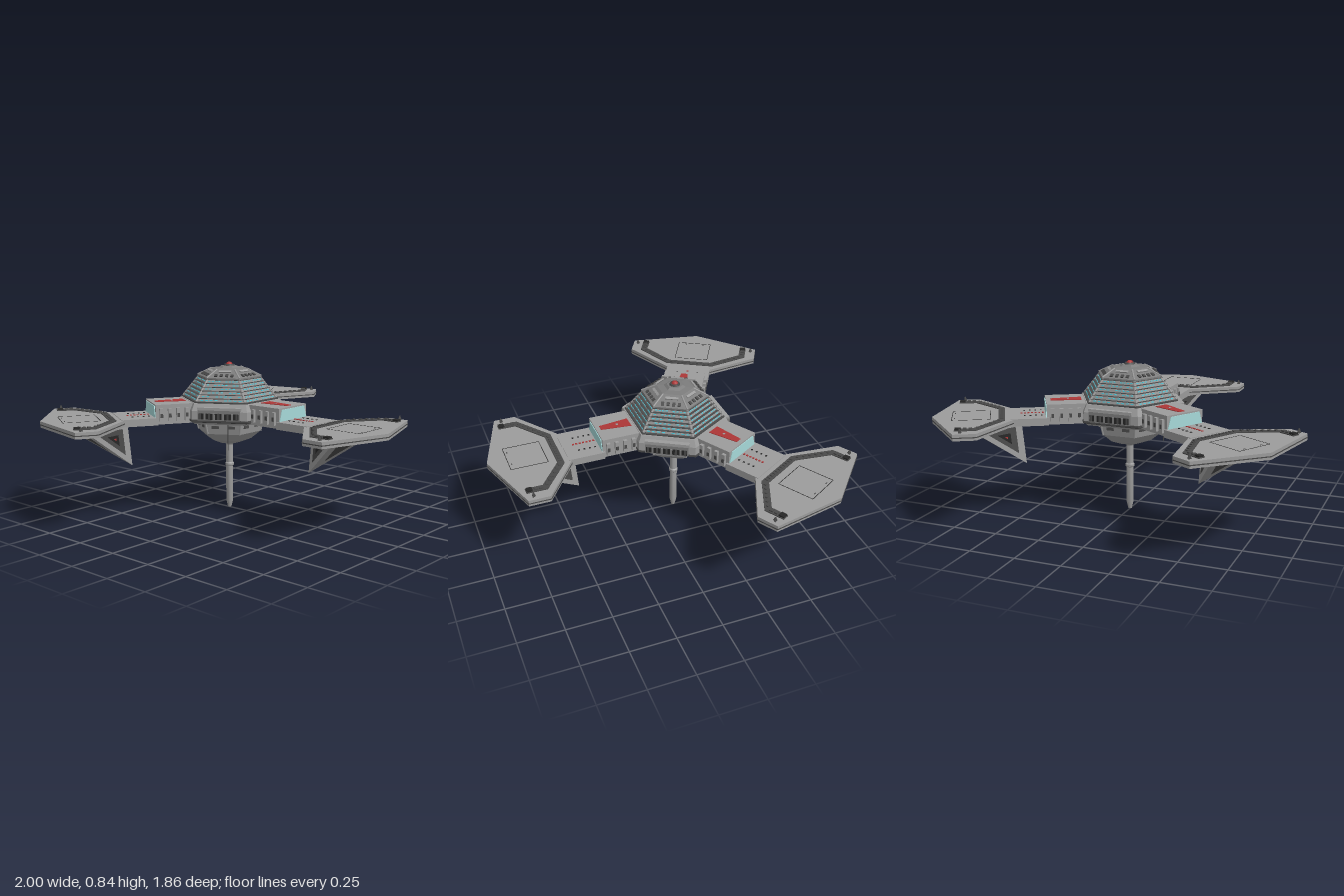
import * as THREE from 'three';
import { toCreasedNormals } from 'three/addons/utils/BufferGeometryUtils.js';

const paint = (name, color) => Object.assign(new THREE.MeshStandardMaterial({ color }), { name });

export function createModel() {
  const hull = paint('hull grey', 0x9c9c9c);
  const mid = paint('panel grey', 0x7c7c7c);
  const dark = paint('trench grey', 0x4a4a4a);
  const black = paint('seam black', 0x262626);
  const red = paint('marking red', 0xac3636);
  const teal = paint('window teal', 0xa6d8d8);
  const cyan = paint('light cyan', 0x55dcf0);

  const model = new THREE.Group();
  const station = new THREE.Group();
  station.name = 'station';
  station.position.z = -0.13;
  model.add(station);

  const add = (parent, name, geo, mat) => {
    const m = new THREE.Mesh(geo, mat);
    m.name = name;
    parent.add(m);
    return m;
  };
  const box = (parent, name, mat, w, h, d, x, y, z) => {
    const m = add(parent, name, new THREE.BoxGeometry(w, h, d), mat);
    m.position.set(x, y, z);
    return m;
  };
  // Slab with an outline in x and z, from height y0 to y1
  const slab = (parent, name, mat, pts, y0, y1) => {
    const shape = new THREE.Shape(pts.map(([x, z]) => new THREE.Vector2(x, -z)));
    const geo = new THREE.ExtrudeGeometry(shape, { depth: y1 - y0, bevelEnabled: false });
    return add(parent, name, geo.rotateX(-Math.PI / 2).translate(0, y0, 0), mat);
  };
  const mirror = pts => [...pts, ...pts.map(([x, z]) => [-x, z]).reverse()];
  // Faceted hexagonal shell, flats facing +z and -z, profile from bottom to top
  const hexShell = (name, mat, pts) => {
    const geo = new THREE.LatheGeometry(pts.map(p => new THREE.Vector2(...p)), 6, Math.PI / 6);
    return add(station, name, toCreasedNormals(geo, 0.1), mat);
  };
  const beam = (parent, name, mat, a, b, r) => {
    const va = new THREE.Vector3(...a), vb = new THREE.Vector3(...b);
    const m = add(parent, name, new THREE.CylinderGeometry(r, r, va.distanceTo(vb), 5), mat);
    m.position.copy(va).add(vb).multiplyScalar(0.5);
    m.quaternion.setFromUnitVectors(new THREE.Vector3(0, 1, 0), vb.sub(va).normalize());
  };
  const triangles = (corners) => {
    const geo = new THREE.BufferGeometry();
    geo.setAttribute('position', new THREE.Float32BufferAttribute(corners.flat(2), 3));
    geo.computeVertexNormals();
    return geo;
  };
  // Triangle shrunk about its centre and lifted slightly off its face
  const inset = ([a, b, c], size, lift) => {
    const g = [0, 1, 2].map(i => (a[i] + b[i] + c[i]) / 3);
    const geo = triangles([[a, b, c].map(p => p.map((v, i) => g[i] + (v - g[i]) * size))]);
    const n = geo.attributes.normal;
    return geo.translate(n.getX(0) * lift, n.getY(0) * lift, n.getZ(0) * lift);
  };

  // Central hub, cap and lower bowl
  hexShell('hubBody', hull, [[0, 0.525], [0.28, 0.525], [0.305, 0.545], [0.305, 0.6], [0.285, 0.64], [0, 0.64]]);
  hexShell('hubSeam', dark, [[0.3, 0.537], [0.309, 0.542], [0.309, 0.552], [0.3, 0.555]]);
  hexShell('domeFoot', dark, [[0.278, 0.638], [0.278, 0.646], [0.26, 0.648]]);
  hexShell('domeCap', mid, [[0.165, 0.758], [0.183, 0.76], [0.183, 0.768], [0.1, 0.808], [0.06, 0.812], [0.045, 0.822], [0, 0.822]]);
  hexShell('lowerBowl', hull, [[0, 0.382], [0.06, 0.385], [0.125, 0.41], [0.18, 0.455], [0.2, 0.53]]);
  add(station, 'beaconBase', new THREE.CylinderGeometry(0.026, 0.032, 0.012, 12), dark).position.y = 0.824;
  add(station, 'beacon', new THREE.SphereGeometry(0.02, 12, 8), red).position.y = 0.823;

  // Stepped dome: upright window bands under dark ledges
  const rows = 6, rise = 0.019, inward = 0.015;
  const rowRadius = i => 0.264 - i * inward;
  for (let i = 0; i < rows; i++) {
    const r = rowRadius(i), y = 0.646 + i * rise;
    hexShell('domeBand', hull, [[r, y], [r - 0.004, y + rise]]);
    hexShell('domeLedge', dark, [[r - 0.004, y + rise - 0.003], [r, y + rise - 0.002], [r, y + rise], [r - inward - 0.002, y + rise]]);
  }

  // Details repeated on each of the six hub faces
  for (let k = 0; k < 6; k++) {
    const face = new THREE.Group();
    face.name = 'hubFace';
    face.rotation.y = k * Math.PI / 3;
    station.add(face);
    beam(face, 'domeRib', hull, [0.134, 0.648, 0.232], [0.0885, 0.76, 0.153], 0.007);
    beam(face, 'capRib', hull, [0.0915, 0.768, 0.159], [0.05, 0.808, 0.087], 0.005);
    beam(face, 'bowlRib', hull, [0.09, 0.455, 0.156], [0.1, 0.53, 0.173], 0.005);

    // Window lights on the dome bands
    for (let i = 0; i < rows; i++) {
      const r = rowRadius(i), step = r * 0.1;
      for (let j = -4; j <= 4; j++) {
        if ((i * 2 + j + 20) % 5 === 0) continue;
        box(face, 'domeLight', cyan, step * 0.6, 0.005, 0.003, j * step, 0.655 + i * rise, r * 0.866 - 0.001);
      }
    }

    const cap = new THREE.Group();
    cap.name = 'capPanel';
    cap.position.set(0, 0.768, 0.159);
    cap.rotation.x = -Math.atan2(0.0736, 0.04);
    face.add(cap);
    [-0.045, -0.015, 0.015, 0.045].forEach(x => box(cap, 'capVent', dark, 0.016, 0.02, 0.012, x, 0.022, 0));
    box(cap, 'capStep', hull, 0.07, 0.014, 0.014, 0, 0.058, 0);

    // Bowl hatches
    [-0.045, 0.045].forEach(x => box(face, 'bowlHatch', dark, 0.04, 0.016, 0.01, x, 0.495, 0.164));

    // Ribbed machinery on the three faces between the arms
    if (k % 2 === 1) {
      box(face, 'machineryBay', mid, 0.23, 0.055, 0.035, 0, 0.582, 0.268);
      box(face, 'bayRoof', hull, 0.24, 0.012, 0.035, 0, 0.617, 0.262);
      box(face, 'bayTrench', black, 0.22, 0.032, 0.006, 0, 0.576, 0.285);
      for (let i = -4; i <= 4; i++) box(face, 'bayRib', i % 2 ? mid : dark, 0.011, 0.034, 0.01, i * 0.025, 0.577, 0.287);
    }
  }

  // Probe mast under the hub and a thin aerial
  const mast = [[0, 0], [0.01, 0.003], [0.02, 0.045], [0.02, 0.245], [0.025, 0.25], [0.025, 0.262], [0.02, 0.268],
    [0.02, 0.37], [0.032, 0.39]].map(p => new THREE.Vector2(...p));
  add(station, 'probeMast', toCreasedNormals(new THREE.LatheGeometry(mast, 16), 0.5), hull);
  beam(station, 'aerial', dark, [-0.15, 0.375, 0.125], [-0.15, 0.54, 0.125], 0.0025);

  // Three identical arms
  for (let k = 0; k < 3; k++) {
    const arm = new THREE.Group();
    arm.name = 'arm';
    arm.rotation.y = k * Math.PI * 2 / 3;
    station.add(arm);

    // Inner block with window, side ribs and red marking
    box(arm, 'innerArm', hull, 0.236, 0.108, 0.245, 0, 0.584, 0.3325);
    const glass = new THREE.Shape([[-0.114, 0.568], [0.114, 0.568], [0.095, 0.63], [-0.095, 0.63]].map(p => new THREE.Vector2(...p)));
    add(arm, 'armWindow', new THREE.ExtrudeGeometry(glass, { depth: 0.005, bevelEnabled: false }), teal).position.z = 0.454;
    slab(arm, 'redMarking', red, mirror([[0.037, 0.265], [0.018, 0.43]]), 0.636, 0.641);
    box(arm, 'markingPip', hull, 0.012, 0.003, 0.012, 0, 0.641, 0.335);

    // Outer section with rows of dots
    box(arm, 'outerArm', hull, 0.26, 0.04, 0.2, 0, 0.548, 0.545);
    for (let i = 0; i < 7; i++) box(arm, 'redDot', red, 0.01, 0.005, 0.01, 0, 0.569, 0.472 + i * 0.019);
    for (const s of [-1, 1]) {
      for (let i = 0; i < 4; i++) {
        box(arm, 'sideRib', hull, 0.024, 0.07, 0.02, s * 0.122, 0.582, 0.285 + i * 0.047);
        box(arm, 'sideClamp', dark, 0.014, 0.022, 0.014, s * 0.13, 0.58, 0.285 + i * 0.047);
        box(arm, 'blackDot', black, 0.009, 0.004, 0.009, s * 0.06, 0.569, 0.48 + i * 0.03);
      }
    }

    // Pod plate with a dark seam around its edge
    const outline = g => mirror([[0.13 + g, 0.63 - g], [0.387 + g, 0.815 - g], [0.387 + g, 0.93 + g], [0, 1.055 + g]]);
    slab(arm, 'podPlate', hull, outline(0), 0.531, 0.565);
    slab(arm, 'podSeam', dark, outline(0.002), 0.544, 0.549);

    // Horseshoe trench and its fittings
    const outer = [[0.328, 0.925], [0.328, 0.815], [0.14, 0.673]];
    const inner = [[-0.29, 0.925], [-0.29, 0.832], [-0.125, 0.708]];
    slab(arm, 'podTrench', dark, [...mirror(outer), ...mirror(inner)], 0.56, 0.57);
    for (let i = -5; i <= 5; i++) box(arm, 'trenchBlock', dark, 0.014, 0.01, 0.016, i * 0.023, 0.57, 0.69);
    for (const s of [-1, 1]) {
      for (let i = 0; i < 6; i++) {
        const t = (i + 0.5) / 6;
        box(arm, 'trenchBlock', dark, 0.016, 0.01, 0.014, s * (0.14 + t * 0.165), 0.571, 0.695 + t * 0.125);
      }
      for (let i = 0; i < 3; i++) box(arm, 'trenchBlock', dark, 0.022, 0.012, 0.018, s * 0.309, 0.571, 0.845 + i * 0.027);
      box(arm, 'trenchEnd', black, 0.03, 0.016, 0.03, s * 0.309, 0.57, 0.907);
      add(arm, 'podCone', new THREE.CylinderGeometry(0.003, 0.013, 0.026, 3).rotateY(Math.PI), dark).position.set(s * 0.36, 0.576, 0.897);

      // Square hatch outline on top, plate seams below
      box(arm, 'hatchSeam', black, 0.003, 0.002, 0.2, s * 0.1, 0.565, 0.85);
      box(arm, 'hatchSeam', black, 0.2, 0.002, 0.003, 0, 0.565, 0.85 + s * 0.1);
      box(arm, 'hatchFitting', dark, 0.012, 0.003, 0.005, s * 0.055, 0.565, 0.935);
      box(arm, 'underPanel', hull, 0.1, 0.006, 0.08, s * 0.27, 0.53, 0.87);
      box(arm, 'underPanel', hull, 0.07, 0.006, 0.06, s * 0.12, 0.53, 0.7);
    }

    // Fin hanging below the pod, with dark triangular recesses
    const tip = [0, 0.288, 0.565], root = [0, 0.533, 0.588], tail = [0, 0.533, 0.94];
    const L = [0.17, 0.533, 0.86], R = [-0.17, 0.533, 0.86];
    const sides = [[root, L, tip], [root, tip, R]], outerSides = [[tail, tip, L], [tail, R, tip]];
    add(arm, 'fin', triangles([...sides, ...outerSides]), hull);
    for (const corners of sides) {
      add(arm, 'finRecess', inset(corners, 0.6, 0.003), dark);
      add(arm, 'finCore', inset(corners, 0.25, 0.005), black);
      add(arm, 'finLamp', inset(corners, 0.06, 0.007), red);
    }
    for (const corners of outerSides) add(arm, 'finOuterRecess', inset(corners, 0.45, 0.003), dark);
  }
  return model;
}
